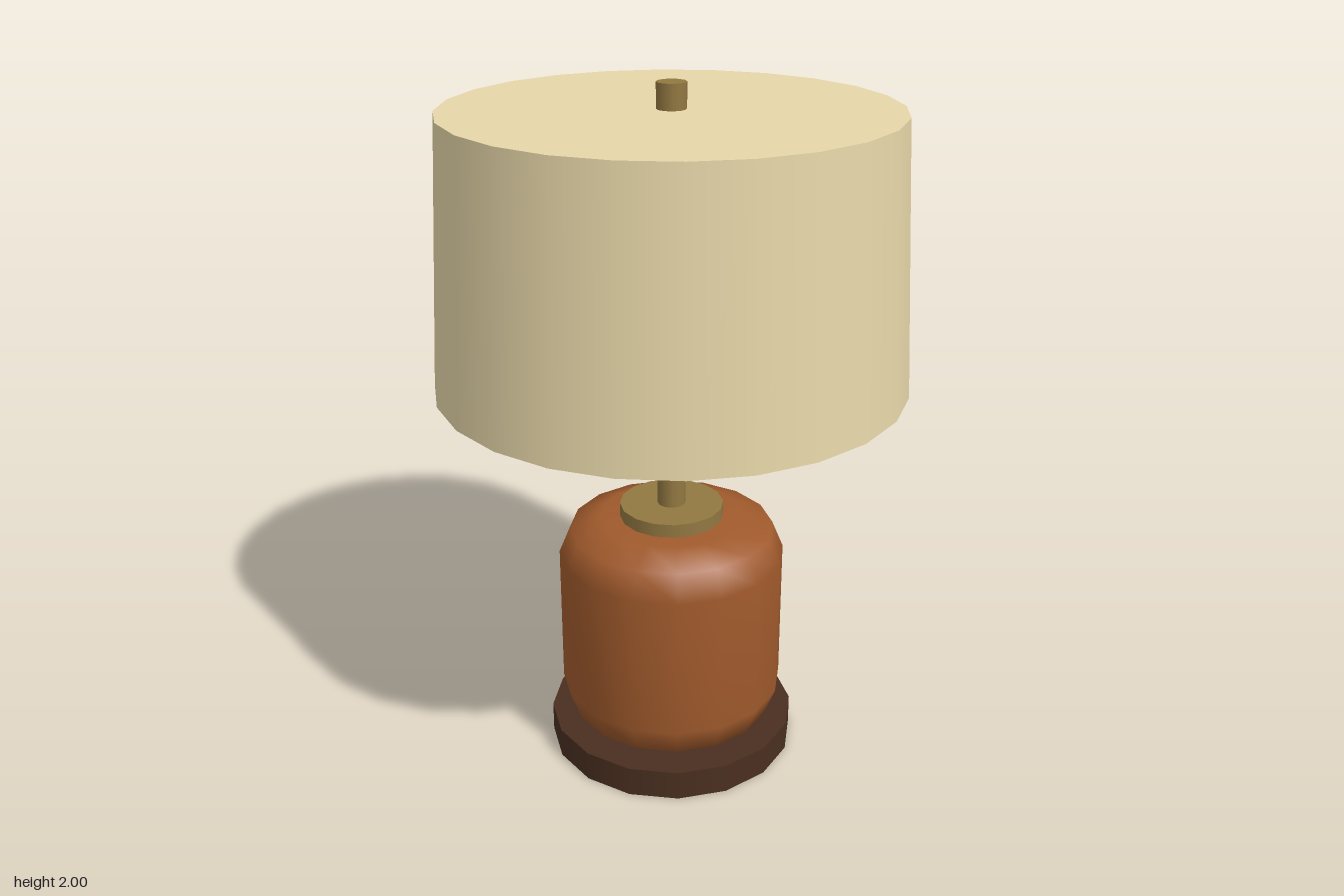
import * as THREE from 'three';

const paint = (color, side = THREE.FrontSide) => new THREE.MeshStandardMaterial({ color, side });

export function createModel() {
  const lamp = new THREE.Group();
  lamp.name = 'tableLamp';

  const wood = paint(0x4a2f20);
  const clay = paint(0xa05a2c);
  const brass = paint(0x927842);
  const cloth = paint(0xe6d6a8, THREE.DoubleSide);
  const glass = paint(0xf0e2b8);

  const add = (name, geometry, material, y = 0) => {
    const mesh = new THREE.Mesh(geometry, material);
    mesh.name = name;
    mesh.position.y = y;
    lamp.add(mesh);
    return mesh;
  };
  // upright round part between two heights
  const disc = (name, radius, y0, y1, sides, material) =>
    add(name, new THREE.CylinderGeometry(radius, radius, y1 - y0, sides), material, (y0 + y1) / 2);

  disc('base', 0.37, 0, 0.09, 16, wood);

  // body: straight barrel with chamfered shoulders
  const profile = [
    [0, 0.09], [0.21, 0.09], [0.3, 0.115], [0.333, 0.2],
    [0.333, 0.63], [0.3, 0.71], [0.21, 0.745], [0, 0.745],
  ].map(([r, y]) => new THREE.Vector2(r, y));
  add('body', new THREE.LatheGeometry(profile, 16), clay);

  disc('collar', 0.152, 0.745, 0.785, 16, brass);
  disc('stem', 0.041, 0.78, 2, 12, brass);

  add('bulb', new THREE.SphereGeometry(0.15, 10, 8), glass, 1.38);

  // shade: thin tapered wall, closed on top and open below
  add('shadeWall', new THREE.CylinderGeometry(0.62, 0.665, 0.76, 24, 1, true), cloth, 1.55);
  add('shadeTop', new THREE.CircleGeometry(0.62, 24), cloth, 1.93).rotation.x = -Math.PI / 2;

  return lamp;
}
